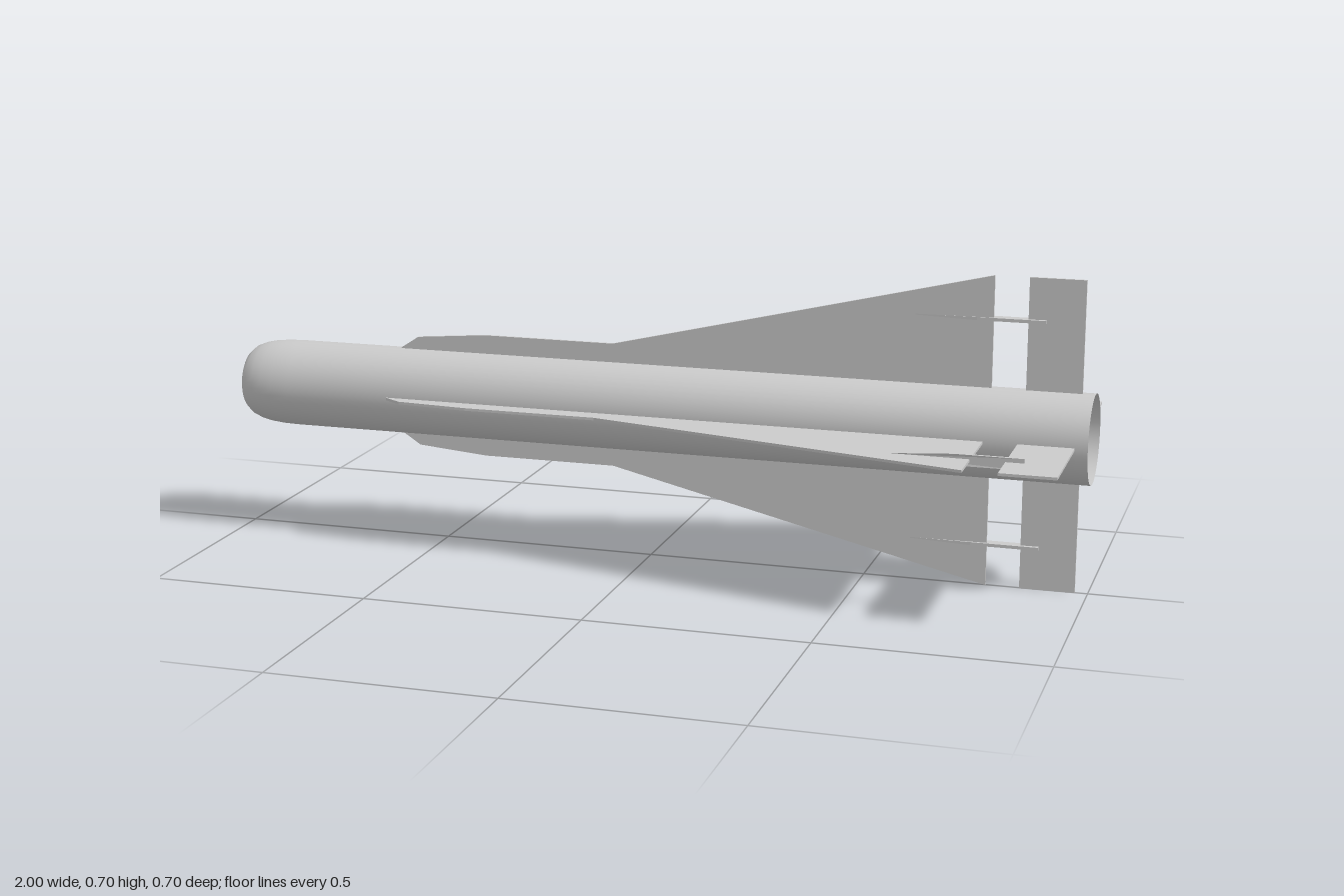
import * as THREE from 'three';

const AXIS_Y = 0.348;
const REACH = 0.348; // fin tip distance from the body axis

const material = new THREE.MeshStandardMaterial({ color: 0xcccccc });
const shellMaterial = new THREE.MeshStandardMaterial({ color: 0xcccccc, side: THREE.DoubleSide });

function part(name, geometry, mat = material) {
  const mesh = new THREE.Mesh(geometry, mat);
  mesh.name = name;
  return mesh;
}

// Flat plate from [x, radius] points, centred on its thickness
function plate(points, thickness) {
  const shape = new THREE.Shape(points.map(([x, r]) => new THREE.Vector2(x, r)));
  const geometry = new THREE.ExtrudeGeometry(shape, { depth: thickness, bevelEnabled: false });
  return geometry.translate(0, 0, -thickness / 2);
}

// Hollow tube with a blunt rounded nose, open at the rear
function bodyGeometry() {
  const profile = [
    [0, -1], [0.03, -0.999], [0.055, -0.995], [0.071, -0.987], [0.083, -0.973],
    [0.091, -0.953], [0.096, -0.93], [0.099, -0.9], [0.1, -0.86], [0.1, 1],
  ].map(([r, x]) => new THREE.Vector2(r, x));
  return new THREE.LatheGeometry(profile, 48).rotateZ(-Math.PI / 2);
}

// Thin actuator rod with a long pointed front, lying across the fin
function rodGeometry() {
  const rod = plate([[0.56, 0], [0.74, -0.0125], [0.89, -0.0125], [0.89, 0.0125], [0.74, 0.0125]], 0.007);
  const p = rod.attributes.position;
  for (let i = 0; i < p.count; i++) {
    if (p.getX(i) < 0.6) p.setZ(i, p.getZ(i) * 0.1);
  }
  rod.computeVertexNormals();
  return rod.rotateX(Math.PI / 2).translate(0, 0.253, 0);
}

export function createModel() {
  const model = new THREE.Group();
  model.name = 'missile';

  const body = part('body', bodyGeometry(), shellMaterial);
  body.position.y = AXIS_Y;
  model.add(body);

  const wing = plate([
    [-0.61, 0.098], [0.775, 0.098], [0.775, REACH], [-0.09, 0.143],
    [-0.4, 0.143], [-0.565, 0.129], [-0.605, 0.103],
  ], 0.006);
  const tail = plate([[0.85, 0.098], [0.972, 0.098], [0.972, REACH], [0.85, REACH]], 0.006);
  const rod = rodGeometry();

  // Four identical fin sets around the body
  for (let i = 0; i < 4; i++) {
    const fins = new THREE.Group();
    fins.name = `finSet${i + 1}`;
    fins.add(part('wing', wing), part('tailFin', tail), part('actuatorRod', rod));
    fins.position.y = AXIS_Y;
    fins.rotation.x = (i * Math.PI) / 2;
    model.add(fins);
  }

  return model;
}
